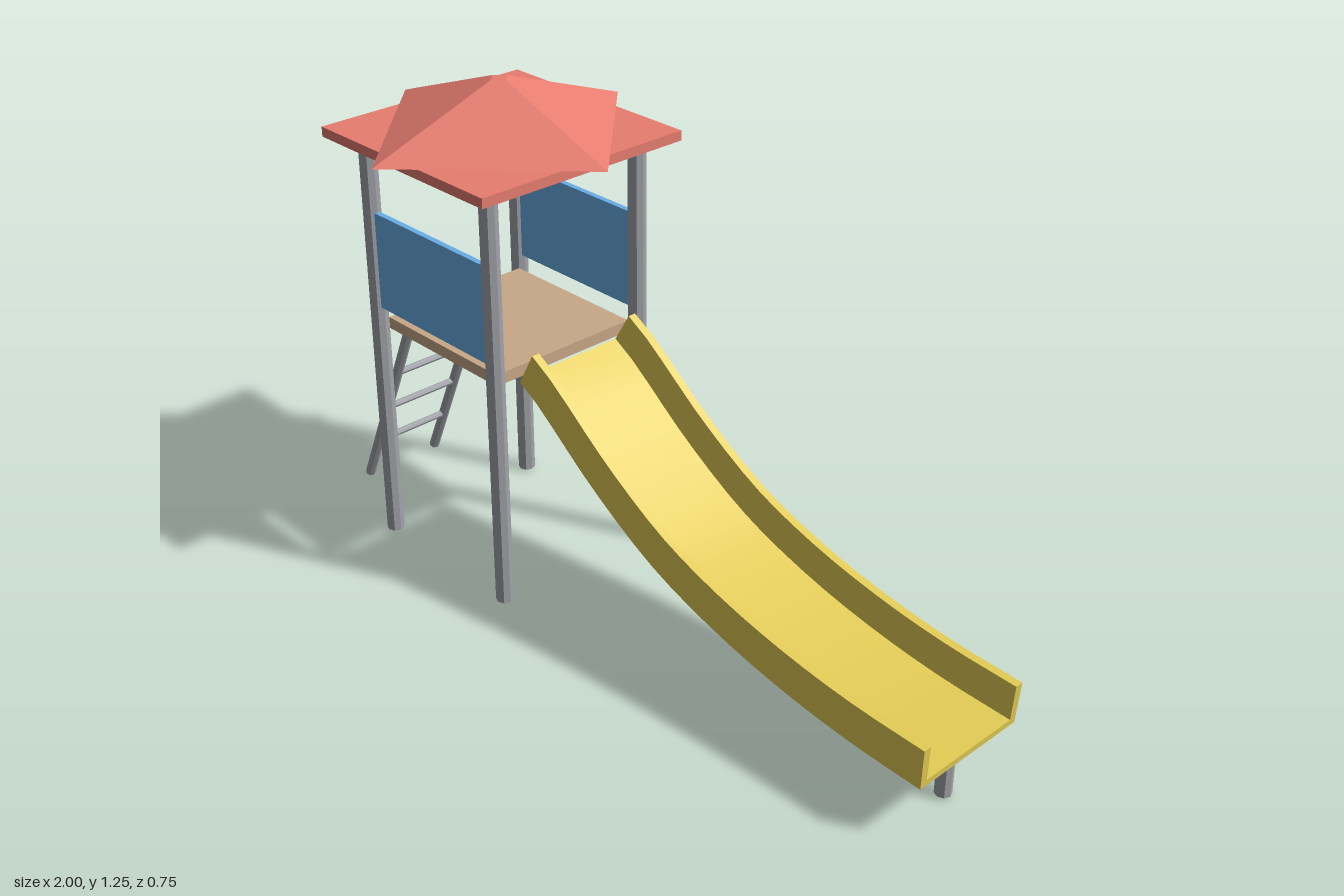
import * as THREE from 'three';
import { toCreasedNormals } from 'three/addons/utils/BufferGeometryUtils.js';

const mat = (name, color) => {
  const m = new THREE.MeshStandardMaterial({ color });
  m.name = name;
  return m;
};

// Sweeps the U-shaped channel along a curve in the xy plane
function channelGeometry(curve, steps) {
  const h = 0.106, t = 0.016;
  const section = [
    [-0.158, 0], [0.158, 0], [0.163, h], [0.142, h],
    [0.14, t], [-0.14, t], [-0.142, h], [-0.163, h],
  ];
  const rings = [];
  for (let j = 0; j <= steps; j++) {
    const p = curve.getPointAt(j / steps);
    const d = curve.getTangentAt(j / steps);
    rings.push(section.map(([z, n]) => [p.x - d.y * n, p.y + d.x * n, z]));
  }
  const pos = [];
  const quad = (a, b, c, d) => pos.push(...a, ...b, ...c, ...a, ...c, ...d);
  for (let j = 0; j < steps; j++) {
    for (let i = 0; i < 8; i++) {
      const k = (i + 1) % 8;
      quad(rings[j][i], rings[j + 1][i], rings[j + 1][k], rings[j][k]);
    }
  }
  // End caps: two walls and the floor
  for (const [a, b, c, d] of [[0, 5, 6, 7], [0, 1, 4, 5], [1, 2, 3, 4]]) {
    const s = rings[0], e = rings[steps];
    quad(s[a], s[b], s[c], s[d]);
    quad(e[d], e[c], e[b], e[a]);
  }
  const g = new THREE.BufferGeometry();
  g.setAttribute('position', new THREE.Float32BufferAttribute(pos, 3));
  return toCreasedNormals(g, 0.5);
}

// Cylinder with flat facets
function facetedCylinder(rTop, rBottom, height, sides) {
  const g = new THREE.CylinderGeometry(rTop, rBottom, height, sides).toNonIndexed();
  g.computeVertexNormals();
  return g;
}

export function createModel() {
  const model = new THREE.Group();
  model.name = 'playgroundSlide';

  const metal = mat('greyMetal', 0xa2a4aa);
  const red = mat('roofRed', 0xe87d70);
  const wood = mat('deckWood', 0xc8a888);
  const blue = mat('panelBlue', 0x69aee8);
  const yellow = mat('slideYellow', 0xe2cb54);

  const add = (name, geometry, material, x = 0, y = 0, z = 0, parent = model) => {
    const mesh = new THREE.Mesh(geometry, material);
    mesh.name = name;
    mesh.position.set(x, y, z);
    parent.add(mesh);
    return mesh;
  };

  // Eight-sided bar between two points
  const bar = (name, a, b, r, parent) => {
    const from = new THREE.Vector3(...a), to = new THREE.Vector3(...b);
    const dir = to.clone().sub(from);
    const mesh = add(name, facetedCylinder(r, r, dir.length(), 8), metal, 0, 0, 0, parent);
    mesh.position.copy(from).add(to).multiplyScalar(0.5);
    mesh.quaternion.setFromUnitVectors(new THREE.Vector3(0, 1, 0), dir.normalize());
  };

  // Tower: posts, deck and side panels
  const cx = -0.488, s = 0.226;
  for (const sx of [-1, 1]) {
    for (const sz of [-1, 1]) {
      bar('towerPost', [cx + sx * s, 0.005, sz * s], [cx + sx * s, 1.098, sz * s], 0.0225);
    }
  }
  add('deck', new THREE.BoxGeometry(0.42, 0.03, 0.42), wood, cx, 0.608, 0);
  for (const sz of [-1, 1]) {
    add('sidePanel', new THREE.BoxGeometry(0.42, 0.252, 0.015), blue, cx, 0.785, sz * s);
  }

  // Roof: square slab with a four-sided cap turned by 45 degrees
  add('roofSlab', new THREE.BoxGeometry(0.6, 0.025, 0.6), red, cx, 1.11, 0);
  add('roofCap', facetedCylinder(0.025, 0.373, 0.125, 4), red, cx, 1.185, 0);

  // Slide chute and its foot
  const path = new THREE.CatmullRomCurve3([
    [-0.256, 0.594], [-0.2, 0.561], [0, 0.411], [0.197, 0.295],
    [0.395, 0.223], [0.6, 0.176], [0.797, 0.15], [0.992, 0.14],
  ].map(([x, y]) => new THREE.Vector3(x, y, 0)));
  add('slideChute', channelGeometry(path, 20), yellow);
  bar('slideFoot', [0.938, 0.005, 0], [0.938, 0.15, 0], 0.02);

  // Ladder: two leaning rails and four rungs
  const ladder = new THREE.Group();
  ladder.name = 'ladder';
  model.add(ladder);
  const foot = [-0.987, 0.005], top = [-0.713, 0.632], lz = 0.111;
  for (const sz of [-1, 1]) {
    bar('ladderRail', [...foot, sz * lz], [...top, sz * lz], 0.0135, ladder);
  }
  for (let i = 1; i <= 4; i++) {
    const x = THREE.MathUtils.lerp(foot[0], top[0], i / 5);
    const y = THREE.MathUtils.lerp(foot[1], top[1], i / 5);
    bar('ladderRung', [x, y, -lz], [x, y, lz], 0.009, ladder);
  }

  return model;
}
